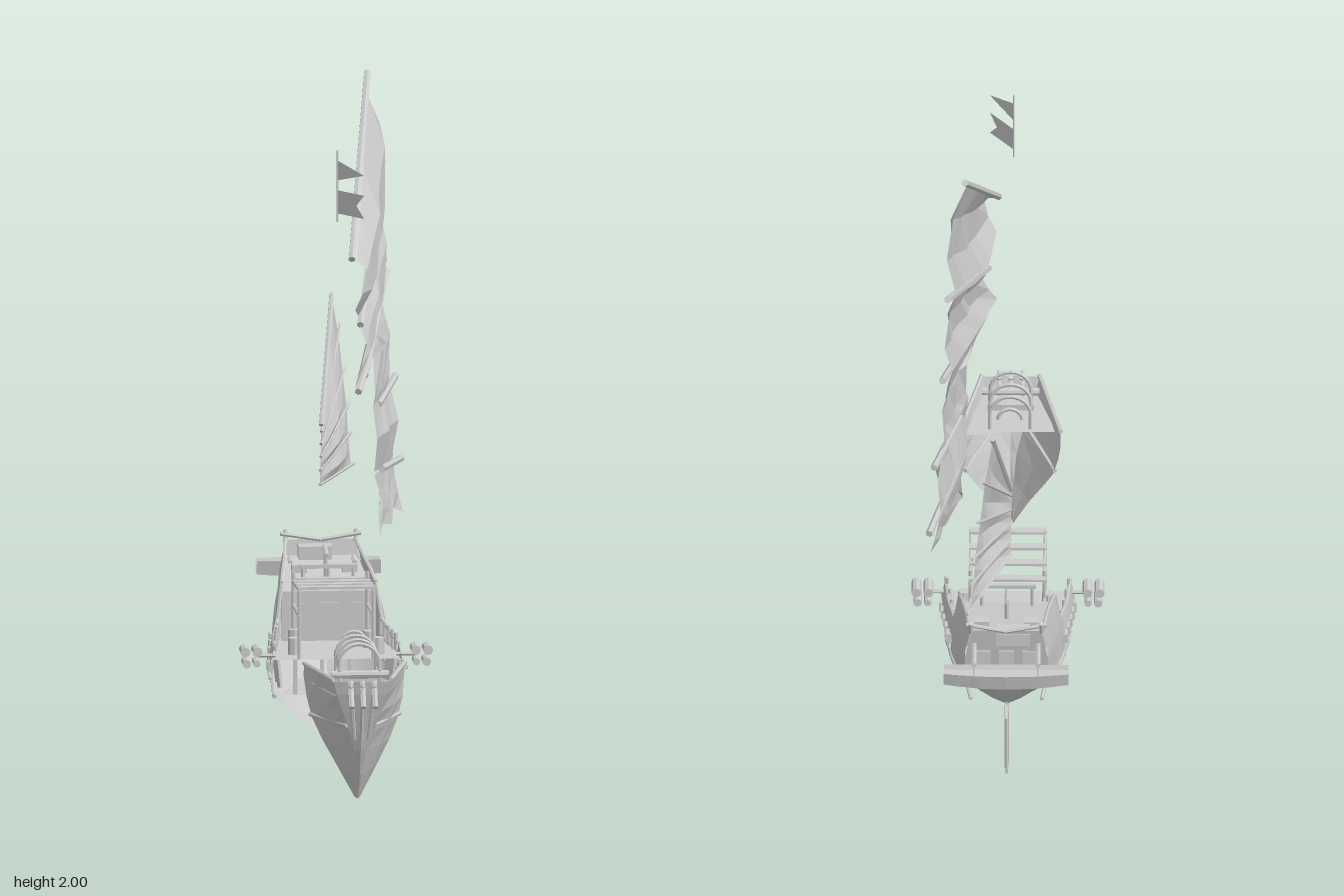
import * as THREE from 'three';

const V = (p) => new THREE.Vector3(...p);
const smoothMat = new THREE.MeshStandardMaterial({ color: 0xcccccc, side: THREE.DoubleSide });
const flatMat = new THREE.MeshStandardMaterial({ color: 0xcccccc, side: THREE.DoubleSide, flatShading: true });

export function createModel() {
  const model = new THREE.Group();
  const group = (name) => { const g = new THREE.Group(); g.name = name; model.add(g); return g; };
  const add = (parent, name, geo, mat = flatMat) => {
    const m = new THREE.Mesh(geo, mat);
    m.name = name;
    parent.add(m);
    return m;
  };
  const box = (parent, name, size, pos) => add(parent, name, new THREE.BoxGeometry(...size)).position.set(...pos);
  // Round spar between two points
  const rod = (parent, name, a, b, r = 0.006, sides = 6) => {
    const A = V(a), B = V(b), d = B.clone().sub(A);
    const m = add(parent, name, new THREE.CylinderGeometry(r, r, d.length(), sides));
    m.position.copy(A).add(B).multiplyScalar(0.5);
    m.quaternion.setFromUnitVectors(new THREE.Vector3(0, 1, 0), d.normalize());
  };
  // Surface through rows of equally many points
  const loft = (rows) => {
    const n = rows[0].length, idx = [];
    for (let i = 0; i < rows.length - 1; i++)
      for (let j = 0; j < n - 1; j++) {
        const a = i * n + j;
        idx.push(a, a + n, a + 1, a + 1, a + n, a + n + 1);
      }
    const g = new THREE.BufferGeometry();
    g.setAttribute('position', new THREE.Float32BufferAttribute(rows.flat(2), 3));
    g.setIndex(idx);
    g.computeVertexNormals();
    return g;
  };
  const mirrorRow = (half) => [...half.map(([x, y, z]) => [-x, y, z]).reverse(), ...half];
  const polygon = (pts) => new THREE.Shape(pts.map((p) => new THREE.Vector2(...p)));

  // Stern half of the hull: z, keel y, wale half-width, wale y, top half-width, top y
  const hull = group('sternHull');
  const st = [
    [-0.11, 0.05, 0.185, 0.19, 0.185, 0.345], [-0.25, 0.07, 0.18, 0.215, 0.175, 0.35],
    [-0.385, 0.11, 0.165, 0.25, 0.155, 0.37], [-0.42, 0.12, 0.162, 0.257, 0.14, 0.475],
    [-0.5, 0.155, 0.15, 0.275, 0.13, 0.5], [-0.58, 0.195, 0.135, 0.295, 0.12, 0.515],
    [-0.665, 0.27, 0.122, 0.32, 0.11, 0.535], [-0.705, 0.335, 0.115, 0.34, 0.105, 0.55],
  ];
  add(hull, 'lowerHull', loft(st.map(([z, k, w, y]) => mirrorRow(
    [[0, 0], [0.3, 0.2], [0.55, 0.43], [0.83, 0.72], [1, 1]].map(([u, v]) => [w * u, k + (y - k) * v, z])))), smoothMat);
  const lean = (z, f) => z - (z < -0.6 ? 0.035 * f : 0);
  for (const s of [1, -1]) {
    add(hull, 'upperSide', loft(st.map(([z, , w, y, tw, ty]) => [
      [s * w, y, z], [s * (w + tw + 0.018) / 2, y + (ty - y) * 0.3, lean(z, 0.3)],
      [s * (w + tw + 0.026) / 2, y + (ty - y) * 0.6, lean(z, 0.6)], [s * tw, ty, lean(z, 1)]])), smoothMat);
    for (let i = 0; i < st.length - 1; i++) {
      const [z, , w, y, tw, ty] = st[i], [z2, , w2, y2, tw2, ty2] = st[i + 1];
      rod(hull, 'wale', [s * w, y, z], [s * w2, y2, z2], 0.007);
      rod(hull, 'topRail', [s * tw, ty, lean(z, 1)], [s * tw2, ty2, lean(z2, 1)], 0.006);
    }
    rod(hull, 'waleEnd', [s * 0.115, 0.335, -0.7], [s * 0.105, 0.335, -0.78], 0.006);
    // Ports, cleats and spars along the side
    for (let i = 0; i < 5; i++) {
      const z = -0.15 - i * 0.06, x = s * (0.196 - i * 0.006);
      box(hull, 'sidePort', [0.016, 0.03, 0.03], [x, 0.275 + i * 0.01, z]);
      rod(hull, 'sideCleat', [x, 0.24 + i * 0.01, z + 0.02], [x, 0.25 + i * 0.01, z - 0.025], 0.005);
      rod(hull, 'railPin', [s * (0.18 - i * 0.007), 0.32, z], [s * (0.18 - i * 0.007), 0.37, z], 0.006);
    }
    // Barrels hanging outboard
    for (const [x, y, r] of [[0.236, 0.325, 0.015], [0.272, 0.325, 0.015], [0.238, 0.29, 0.011], [0.268, 0.29, 0.013]])
      rod(hull, 'sideBarrel', [s * x, y, -0.1], [s * x, y, -0.165], r, 8);
    rod(hull, 'barrelArm', [s * 0.18, 0.31, -0.13], [s * 0.235, 0.31, -0.13], 0.006);
    // Ribs left bare inside the hull
    for (const z of [-0.15, -0.24, -0.33])
      rod(hull, 'rib', [s * 0.165, 0.21, z], [s * 0.175, 0.3, z], 0.008, 4);
  }
  const transomPts = [[-0.115, 0], [0.115, 0], [0.125, 0.095], [0.105, 0.215], [-0.105, 0.215], [-0.125, 0.095]];
  const transom = add(hull, 'transom', new THREE.ShapeGeometry(polygon(transomPts)));
  transom.position.set(0, 0.335, -0.705);
  transom.rotation.x = -0.16;
  for (const x of [-0.07, 0, 0.07]) box(hull, 'sternWindow', [0.045, 0.06, 0.012], [x, 0.44, -0.725]);
  box(hull, 'sternLedge', [0.24, 0.012, 0.05], [0, 0.37, -0.725]);

  // Decks and bulkhead
  const deck = (name, y, pts) => add(hull, name, loft(pts.map(([z, w, dy]) => [[-w, y + dy, z], [w, y + dy, z]])));
  deck('mainDeck', 0.3, [[-0.11, 0.19, 0], [-0.25, 0.182, 0], [-0.42, 0.158, 0]]);
  deck('lowerDeck', 0.19, [[-0.13, 0.165, 0], [-0.4, 0.09, 0]]);
  deck('poopDeck', 0.45, [[-0.42, 0.14, 0], [-0.58, 0.12, 0.025], [-0.73, 0.105, 0.05]]);
  box(hull, 'poopBulkhead', [0.28, 0.15, 0.01], [0, 0.375, -0.42]);
  box(hull, 'cabinDoor', [0.06, 0.11, 0.014], [0, 0.36, -0.415]);
  for (const x of [-0.1, 0.1]) box(hull, 'cabinWindow', [0.05, 0.05, 0.014], [x, 0.39, -0.415]);
  for (const x of [-0.12, -0.04, 0.04, 0.12]) box(hull, 'innerPost', [0.01, 0.11, 0.01], [x, 0.245, -0.14]);
  for (const [x, z] of [[-0.12, -0.2], [0.11, -0.3], [-0.11, -0.34], [0.13, -0.19]])
    rod(hull, 'deckBarrel', [x, 0.3, z], [x, 0.35, z], 0.018, 8);

  // Keel and rudder
  const keelShape = polygon([[-0.12, 0.02], [-0.6, 0.02], [-0.6, 0.215], [-0.44, 0.14], [-0.28, 0.085], [-0.12, 0.055]]);
  const keel = add(hull, 'keel', new THREE.ExtrudeGeometry(keelShape, { depth: 0.01, bevelEnabled: false }));
  keel.rotation.y = -Math.PI / 2;
  keel.position.x = 0.005;
  box(hull, 'rudder', [0.01, 0.19, 0.085], [0, 0.11, -0.64]);
  rod(hull, 'rudderPost', [0, 0, -0.595], [0, 0.2, -0.595], 0.007);
  rod(hull, 'rudderEdge', [0, 0.04, -0.685], [0, 0.21, -0.685], 0.006);

  // Slatted frame over the main deck
  const frame = group('deckFrame');
  for (const s of [1, -1]) {
    for (const z of [-0.12, -0.35]) rod(frame, 'framePost', [s * 0.11, 0.3, z], [s * 0.11, 0.52, z], 0.006);
    rod(frame, 'frameBeam', [s * 0.11, 0.51, -0.1], [s * 0.11, 0.49, -0.37], 0.006);
    rod(frame, 'frameRail', [s * 0.11, 0.43, -0.1], [s * 0.11, 0.42, -0.39], 0.005);
  }
  for (let i = 0; i < 4; i++) box(frame, 'slat', [0.23, 0.008, 0.028], [0, 0.515 - i * 0.006, -0.12 - i * 0.08]);

  // Poop fittings
  const poop = group('poopFittings');
  box(poop, 'frontRail', [0.17, 0.012, 0.014], [0, 0.52, -0.44]);
  for (const x of [-0.075, 0, 0.075]) rod(poop, 'railPost', [x, 0.45, -0.44], [x, 0.52, -0.44]);
  for (const x of [-0.075, 0.075]) box(poop, 'hatch', [0.045, 0.025, 0.03], [x, 0.485, -0.595]);
  rod(poop, 'tablePost', [0, 0.46, -0.54], [0, 0.55, -0.54], 0.008);
  rod(poop, 'tiller', [0, 0.54, -0.5], [0, 0.555, -0.59], 0.007);
  box(poop, 'aftLocker', [0.1, 0.04, 0.06], [-0.02, 0.515, -0.71]);
  for (const s of [1, -1]) {
    rod(poop, 'davit', [s * 0.095, 0.49, -0.66], [s * 0.095, 0.5, -0.86], 0.008);
    rod(poop, 'davitLine', [s * 0.095, 0.5, -0.845], [s * 0.095, 0.45, -0.845], 0.002);
    rod(poop, 'sternPost', [s * 0.105, 0.54, -0.735], [s * 0.105, 0.575, -0.745], 0.008);
    rod(poop, 'sternRail', [s * 0.12, 0.565, -0.735], [0, 0.545, -0.74], 0.006);
  }
  // Small boat slung across the stern
  add(poop, 'slungBoat', loft([-0.185, -0.15, -0.08, 0, 0.08, 0.15, 0.185].map((x) => {
    const w = 0.036 - 0.25 * x * x, c = -0.842 + 0.25 * x * x, y = 0.42 + 0.25 * x * x;
    return [[x, 0.455, c + w * 0.8], [x, 0.47, c + w], [x, y, c + w * 0.7], [x, y, c - w * 0.7],
      [x, 0.47, c - w], [x, 0.455, c - w * 0.8], [x, 0.455, c + w * 0.8]];
  })));

  // Broken bow: y, stem z, stem half-width, torn edge z, torn edge half-width
  const bow = group('bow');
  const bowRows = [
    [0.42, 0.91, 0.085, 0.6, 0.15], [0.38, 0.9, 0.075, 0.575, 0.15], [0.32, 0.88, 0.055, 0.605, 0.143],
    [0.26, 0.86, 0.035, 0.62, 0.128], [0.2, 0.84, 0.018, 0.655, 0.1], [0.12, 0.8, 0.008, 0.69, 0.055],
    [0.035, 0.73, 0.003, 0.705, 0.008],
  ];
  add(bow, 'bowShell', loft(bowRows.map(([y, zf, wf, za, wa]) => mirrorRow(
    [[0, y, zf + 0.008], [wf, y, zf], [wf + (wa - wf) * 0.6, y, (zf + za) / 2], [wa, y, za]]))));
  add(bow, 'bowDeck', loft([[0.89, 0.08], [0.8, 0.105], [0.67, 0.135]].map(([z, w]) => [[-w, 0.375, z], [0, 0.375, z], [w, 0.375, z - 0.02]])));
  for (const s of [1, -1]) {
    rod(bow, 'bowRail', [s * 0.085, 0.425, 0.91], [s * 0.15, 0.42, 0.6], 0.007);
    rod(bow, 'bowWale', [s * 0.042, 0.28, 0.866], [s * 0.133, 0.27, 0.62], 0.007);
    rod(bow, 'windlassPost', [s * 0.06, 0.375, 0.82], [s * 0.06, 0.44, 0.82], 0.008);
  }
  rod(bow, 'brokenPlank', [0.15, 0.41, 0.62], [0.155, 0.4, 0.57], 0.008);
  rod(bow, 'windlass', [-0.085, 0.425, 0.82], [0.085, 0.425, 0.82], 0.012, 8);
  box(bow, 'bowBench', [0.14, 0.02, 0.025], [0, 0.4, 0.78]);
  for (const x of [-0.035, 0, 0.035]) {
    rod(bow, 'bowBeam', [x, 0.39, 0.86], [x, 0.415, 0.95], 0.007);
    rod(bow, 'bowHook', [x, 0.42, 0.91], [x, 0.35, 0.96], 0.009);
    rod(bow, 'bowBrace', [x, 0.4, 0.925], [x * 0.6, 0.24, 0.875], 0.006);
  }
  // Canopy hoops above the bow
  [0.58, 0.65, 0.72, 0.79].forEach((z, i) => {
    const hoop = add(bow, 'hoop', new THREE.TorusGeometry(i ? 0.06 : 0.035, 0.006, 5, 12, Math.PI));
    hoop.position.set(0, i ? 0.45 : 0.475, z);
    if (i) for (const s of [1, -1]) rod(bow, 'hoopLeg', [s * 0.06, 0.45, z], [s * 0.06, i === 1 ? 0.4 : 0.43, z], 0.006);
  });

  // Main sail panels: each row gives left z, left y, right z, right y; slant is the x lean at top and bottom
  const rig = group('mainSail');
  const bump = (i, j) => 0.007 * Math.sin(i * 2.3 + j * 4.1) + 0.005 * Math.sin(i * 5.7 - j * 1.9);
  const panel = (rows, bulge, slant, dip = 0) => {
    const n = 8;
    add(rig, 'sailPanel', loft(rows.map(([zl, yl, zr, yr], i) => Array.from({ length: n }, (_, j) => {
      const t = j / (n - 1), z = zl + (zr - zl) * t, v = i / (rows.length - 1);
      const belly = Math.sin(Math.PI * v) * (bulge * (0.7 + 0.3 * Math.sin(Math.PI * t)) + bump(i, j));
      const y = yl + (yr - yl) * t - dip * v * Math.sin(Math.PI * t ** 0.6);
      return [0.045 + (slant[0] + (slant[1] - slant[0]) * v) * (0.09 - z) + belly, y, z];
    }))));
  };
  panel([[0.1, 1.54, -0.475, 1.93], [0.13, 1.52, -0.52, 1.84], [0.14, 1.45, -0.545, 1.72], [0.14, 1.4, -0.555, 1.605]], 0.055, [0.135, 0.165], 0.08);
  panel([[0.03, 1.34, -0.555, 1.605], [0.06, 1.28, -0.56, 1.52], [0.1, 1.22, -0.565, 1.42], [0.145, 1.16, -0.56, 1.34]], 0.04, [0.165, 0.178]);
  panel([[0.02, 1.185, -0.56, 1.34], [-0.1, 1.18, -0.558, 1.27], [-0.27, 1.185, -0.555, 1.2], [-0.23, 1.07, -0.545, 1.1], [-0.22, 1.04, -0.54, 1.05]], 0.02, [0.178, 0.23]);
  panel([[-0.22, 1.04, -0.54, 1.05], [-0.16, 0.95, -0.535, 0.95], [-0.21, 0.845, -0.52, 0.82]], 0.025, [0.23, 0.25]);
  // Torn lower strip: top z, bottom z, bottom y
  const strip = [[-0.21, -0.17, 0.66], [-0.27, -0.23, 0.685], [-0.33, -0.325, 0.665], [-0.4, -0.4, 0.7], [-0.46, -0.45, 0.69], [-0.52, -0.5, 0.67]];
  add(rig, 'tornStrip', loft([0, 0.35, 0.7, 1].map((v, i) => strip.map(([zt, zb, yb], j) => {
    const z = zt + (zb - zt) * v - (j ? 0 : 0.06 * Math.sin(Math.PI * v)), y = 0.835 + (yb - 0.835) * v;
    return [0.045 + 0.25 * (0.09 - z) + 0.025 * v + bump(i, j) * v, y, z];
  }))));
  for (const [a, b] of [
    [[0.03, 1.545, 0.1], [0.125, 1.99, -0.55]], [[0.06, 1.335, 0.035], [0.175, 1.65, -0.66]],
    [[0.075, 1.18, 0.02], [0.19, 1.37, -0.665]], [[0.045, 1.155, 0.155], [0.085, 1.215, 0]],
    [[0.14, 1.03, -0.315], [0.215, 1.055, -0.645]], [[0.15, 0.838, -0.3], [0.23, 0.81, -0.62]],
  ]) rod(rig, 'yard', a, b, 0.011, 6);

  // Fan-shaped aft sail with battens: start y, z, then end x, y, z
  const aft = group('aftSail');
  const battens = [
    [0.925, -0.555, 0.04, 1.27, -0.83], [0.905, -0.555, 0.07, 1.165, -0.905], [0.865, -0.57, 0.085, 1.03, -0.915],
    [0.825, -0.58, 0.1, 0.92, -0.945], [0.78, -0.6, 0.105, 0.83, -0.945], [0.735, -0.61, 0.115, 0.735, -0.955],
  ];
  const along = ([y, z, x2, y2, z2], t) => [-0.012 + (x2 + 0.012) * t, y + (y2 - y) * t, z + (z2 - z) * t];
  const fan = [], steps = [0, 0.25, 0.5, 0.75, 1];
  battens.forEach((b, i) => {
    rod(aft, 'batten', along(b, 0), along(b, 1), i ? 0.005 : 0.008);
    const reach = i ? 0.91 : 0.98, next = battens[i + 1];
    fan.push(steps.map((t) => along(b, t * reach)));
    // Cloth bellies out halfway to the next batten
    if (next) fan.push(steps.map((t) => {
      const p = along(b, t * reach), q = along(next, t * 0.91);
      return p.map((c, m) => (c + q[m]) / 2 + (m ? 0 : 0.016 * Math.sin(Math.PI * t)));
    }));
  });
  add(aft, 'fanSail', loft(fan));

  // Flag staff with pennant and swallowtail
  const flags = group('flags');
  rod(flags, 'flagStaff', [-0.015, 1.665, 0.13], [-0.015, 1.88, 0.13], 0.003);
  for (const [name, pts] of [
    ['pennant', [[0, 1.85], [0.12, 1.82], [0, 1.79]]],
    ['swallowtail', [[0, 1.76], [0.12, 1.76], [0.085, 1.725], [0.12, 1.69], [0, 1.69]]],
  ]) {
    const f = add(flags, name, new THREE.ShapeGeometry(polygon(pts)));
    f.position.set(-0.015, 0, 0.13);
    f.rotation.y = -0.93;
  }
  return model;
}
